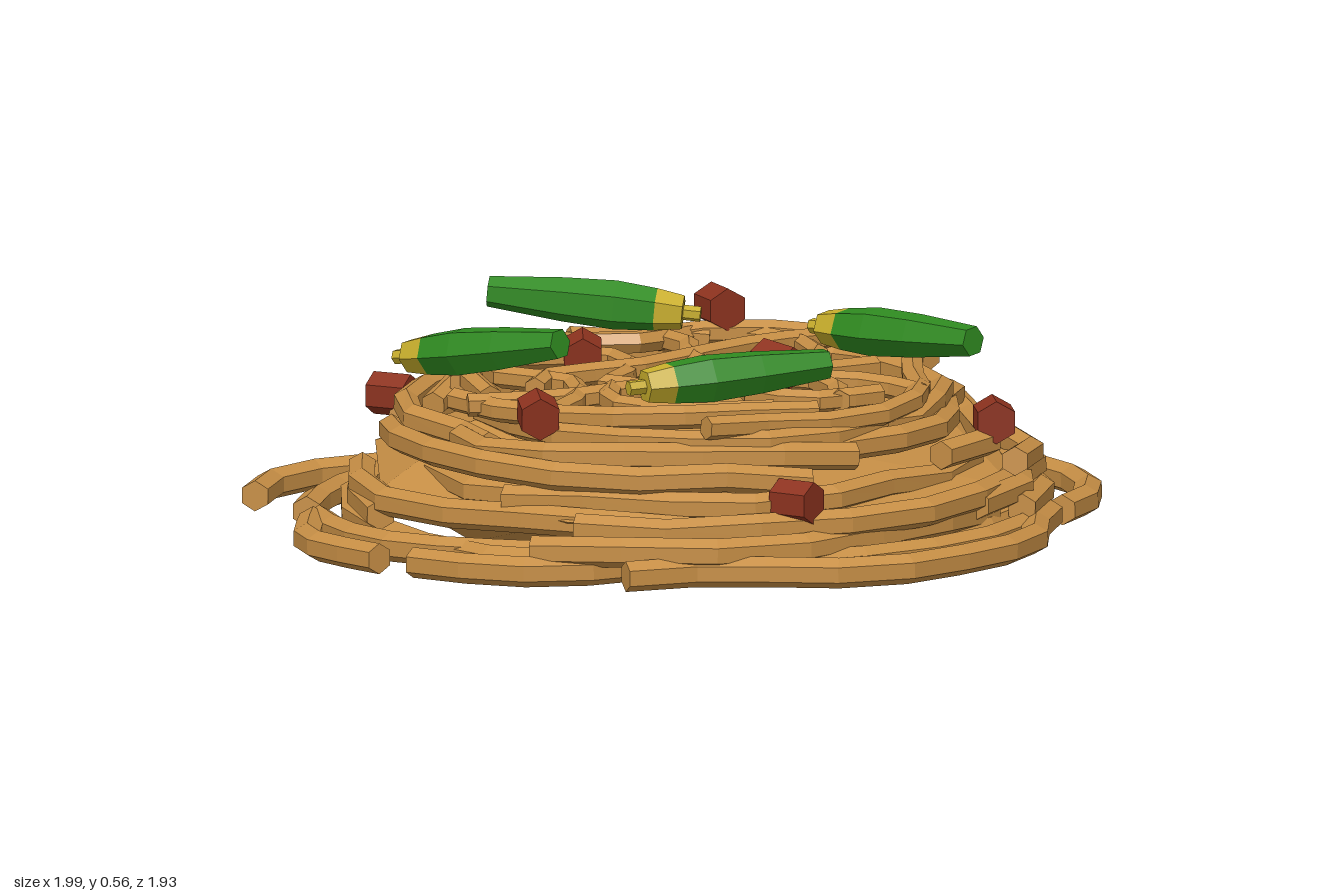
import * as THREE from 'three';

const mat = (color) => new THREE.MeshStandardMaterial({ color, flatShading: true });
const noodleMat = mat(0xc68e45), coreMat = mat(0xc68e45);
const greenMat = mat(0x2f8a20), yellowMat = mat(0xc8ae2c), meatMat = mat(0x8c321e);

let seed = 23;
const rand = () => (seed = (seed * 16807) % 2147483647) / 2147483647;
const jitter = (s) => (rand() - 0.5) * 2 * s;
const vec = (p) => new THREE.Vector3(...p);

// Faceted noodle with closed ends; one ring of corners per segment
function noodle(points, radius, segments, name) {
  const sides = 6, row = sides + 1;
  const curve = new THREE.CatmullRomCurve3(points.map(vec));
  const geo = new THREE.TubeGeometry(curve, segments, radius, sides, false);
  const index = Array.from(geo.index.array), last = segments * row;
  for (let i = 1; i < sides - 1; i++) {
    index.push(0, i, i + 1, last, last + i + 1, last + i);
  }
  geo.setIndex(index);
  const mesh = new THREE.Mesh(geo, noodleMat);
  mesh.name = name;
  return mesh;
}

// Points along a wobbling arc round the mound
function arc(start, sweep, radius, y, wobble) {
  const n = Math.max(4, Math.round(sweep / 0.34)), pts = [];
  const drift = jitter(0.1);
  for (let i = 0; i <= n; i++) {
    const a = start + (sweep * i) / n;
    const r = radius + jitter(wobble) + drift * (i / n - 0.5);
    pts.push([Math.cos(a) * r, y + jitter(0.012), Math.sin(a) * r]);
  }
  return pts;
}

// Pod with a yellow cap and stub, laid from its stem tip to its far end
function pod(from, to) {
  const group = new THREE.Group();
  group.name = 'greenPod';
  const a = vec(from), dir = vec(to).sub(a), len = dir.length();
  const section = (points, material, name) => {
    const geo = new THREE.LatheGeometry(points.map(([r, y]) => new THREE.Vector2(r, y)), 6);
    const mesh = new THREE.Mesh(geo, material);
    mesh.name = name;
    group.add(mesh);
  };
  section([[0, 0], [0.018, 0], [0.018, 0.04], [0.04, 0.041], [0.05, 0.105]], yellowMat, 'podCap');
  section([[0.05, 0.105], [0.058, 0.2], [0.052, len * 0.65], [0.036, len], [0, len]], greenMat, 'podBody');
  group.position.copy(a);
  group.quaternion.setFromUnitVectors(new THREE.Vector3(0, 1, 0), dir.normalize());
  return group;
}

export function createModel() {
  const model = new THREE.Group();
  model.name = 'noodleDish';

  // Solid faceted mound beneath the noodles
  const core = new THREE.Mesh(new THREE.OctahedronGeometry(1, 1), coreMat);
  core.name = 'moundCore';
  core.scale.set(0.79, 0.2, 0.79);
  core.position.set(0.01, 0.2, -0.02);
  model.add(core);

  // Loose noodles round the foot, sloping gently up to the front
  const loose = [
    [[-0.82, -0.65], [-0.67, -0.83], [-0.45, -0.88], [-0.15, -0.85], [0.06, -0.93], [0.25, -0.85], [0.38, -0.78]],
    [[-0.12, -0.82], [0.08, -0.87], [0.29, -0.9]],
    [[0.28, -0.87], [0.45, -0.84], [0.58, -0.72], [0.72, -0.57], [0.8, -0.4], [0.84, -0.2], [0.84, 0]],
    [[0.62, -0.58], [0.76, -0.5], [0.91, -0.38], [0.95, -0.15], [0.96, 0.02], [0.9, 0.22], [0.77, 0.36]],
    [[-0.84, -0.27], [-0.96, -0.02], [-0.96, 0.08], [-0.91, 0.27]],
    [[-0.82, -0.28], [-0.85, -0.05], [-0.8, 0.16], [-0.66, 0.32], [-0.54, 0.42]],
    [[-0.86, 0.35], [-0.72, 0.56], [-0.56, 0.63], [-0.3, 0.62], [-0.1, 0.68]],
    [[-0.5, 0.75], [-0.3, 0.77], [-0.13, 0.87], [0.03, 0.95], [0.27, 0.89], [0.52, 0.74], [0.62, 0.55], [0.72, 0.4]],
    [[-0.46, 0.62], [-0.2, 0.77], [0.06, 0.8], [0.3, 0.75], [0.52, 0.62], [0.7, 0.4]],
    [[-0.8, -0.4], [-0.66, -0.6], [-0.45, -0.76], [-0.2, -0.8]],
  ];
  for (const path of loose) {
    const pts = path.map(([x, z]) => [x, 0.09 + 0.022 * z, z]);
    model.add(noodle(pts, 0.036, path.length + 1, 'looseNoodle'));
  }

  // Wrapped layers, narrowing upward: [height, radius, count, thickness, wobble]
  const layers = [
    [0.1, 0.75, 3, 0.036, 0.03],
    [0.15, 0.78, 3, 0.036, 0.035],
    [0.19, 0.76, 4, 0.035, 0.04],
    [0.24, 0.71, 3, 0.034, 0.04],
    [0.29, 0.67, 3, 0.034, 0.04],
    [0.33, 0.63, 4, 0.033, 0.04],
    [0.365, 0.56, 3, 0.03, 0.04],
    [0.4, 0.53, 4, 0.028, 0.035],
  ];
  layers.forEach(([y, radius, count, thick, wobble], k) => {
    for (let i = 0; i < count; i++) {
      const start = k * 0.9 + (i / count) * Math.PI * 2 + jitter(0.2);
      const sweep = 1.6 + rand() * 0.6;
      const path = arc(start, sweep, radius + jitter(0.035), y, wobble);
      model.add(noodle(path, thick, path.length, 'wrappedNoodle'));
    }
  });

  // Open tangle across the top
  const tangle = [
    [[-0.5, -0.2], [-0.42, -0.35], [-0.28, -0.42], [-0.15, -0.38], [-0.06, -0.25], [-0.12, -0.1], [-0.22, 0], [-0.12, 0.15], [-0.1, 0.32]],
    [[0.08, -0.55], [0.15, -0.4], [0.08, -0.2], [0.05, 0], [-0.1, 0.06]],
    [[0.48, -0.33], [0.3, -0.29], [0.1, -0.2], [-0.1, -0.11], [-0.32, -0.1], [-0.4, 0]],
    [[0.3, -0.5], [0.4, -0.33], [0.36, -0.1], [0.22, 0.05], [0.26, 0.2], [0.2, 0.38]],
    [[-0.6, 0.07], [-0.4, 0.13], [-0.25, 0.12], [-0.05, 0.06], [0.2, 0.08], [0.44, 0.04]],
    [[-0.25, 0.1], [-0.31, 0.25], [-0.2, 0.4], [0, 0.46]],
    [[0.1, 0.09], [0.04, 0.24], [0.14, 0.36], [0.32, 0.34]],
    [[-0.36, -0.4], [-0.4, -0.2], [-0.3, -0.02], [-0.36, 0.15], [-0.46, 0.25]],
    [[-0.3, -0.5], [-0.1, -0.5], [0.05, -0.44], [0.22, -0.5]],
    [[0.12, -0.1], [0.2, 0.1], [0.36, 0.22], [0.42, 0.36]],
  ];
  tangle.forEach((path, i) => {
    const pts = path.map(([x, z]) => [x, 0.405 - 0.03 * (x * x + z * z) + (i % 3) * 0.004, z]);
    model.add(noodle(pts, 0.027, path.length + 2, 'topNoodle'));
  });

  // Green pods
  model.add(
    pod([0.18, 0.475, -0.37], [-0.25, 0.52, -0.61]),
    pod([-0.6, 0.44, -0.34], [-0.38, 0.53, 0.1]),
    pod([0.39, 0.46, -0.21], [0.59, 0.49, 0.26]),
    pod([-0.34, 0.475, 0.4], [0.16, 0.495, 0.4]),
  );

  // Meat chunks: [x, y, z, heading, tilt]
  const chunks = [
    [-0.54, 0.32, -0.5, 0.7, 0],
    [-0.17, 0.43, -0.25, -0.4, 0.1],
    [0.28, 0.465, -0.49, 0, 0],
    [0.58, 0.355, -0.33, -0.5, -0.5],
    [0.14, 0.455, 0.16, 0.4, 0.1],
    [-0.51, 0.405, 0.27, -0.3, 0.1],
    [0.555, 0.345, 0.46, -0.3, 0],
    [-0.07, 0.25, 0.75, 0.6, 0],
  ];
  for (const [x, y, z, heading, tilt] of chunks) {
    const chunk = new THREE.Mesh(new THREE.CylinderGeometry(0.05, 0.05, 0.095, 6), meatMat);
    chunk.name = 'meatChunk';
    chunk.position.set(x, y, z);
    chunk.rotation.set(Math.PI / 2 + tilt, heading, 0, 'YXZ');
    model.add(chunk);
  }
  return model;
}
